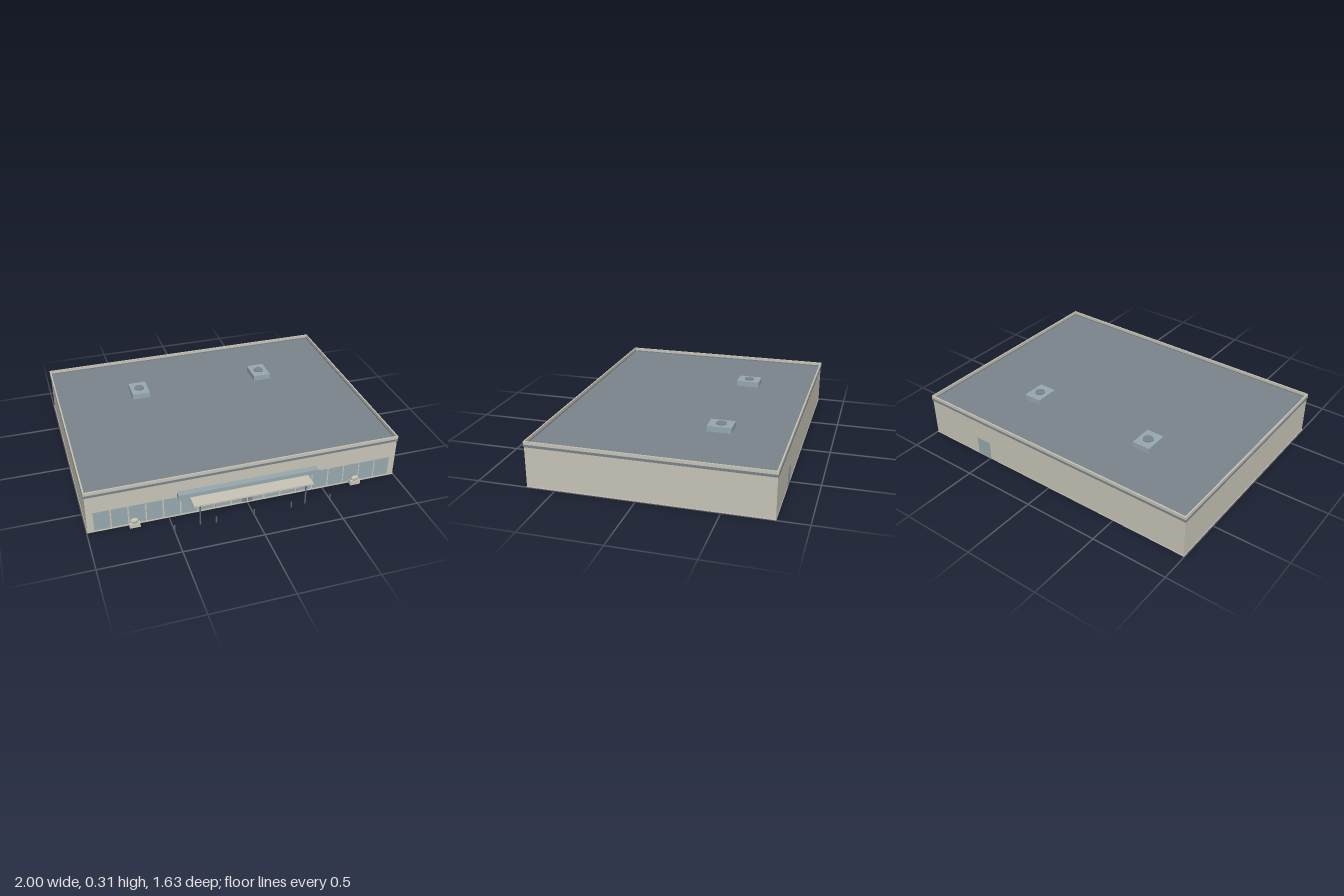
import * as THREE from 'three';

export function createModel() {
  const root = new THREE.Group();
  root.name = 'storeBuilding';

  const mat = (name, color) => {
    const m = new THREE.MeshStandardMaterial({ color });
    m.name = name;
    return m;
  };
  const beige = mat('beige wall', 0xc9c5b8);
  const slate = mat('slate', 0x7b848c);
  const glass = mat('pale blue glass', 0x97a9ae);
  const steel = mat('dark steel', 0x5f6870);

  const add = (name, geo, material, x, y, z, parent = root) => {
    const m = new THREE.Mesh(geo, material);
    m.name = name;
    m.position.set(x, y, z);
    parent.add(m);
    return m;
  };
  // Box given by its min and max on each axis
  const box = (name, material, x0, x1, y0, y1, z0, z1, parent = root) =>
    add(name, new THREE.BoxGeometry(x1 - x0, y1 - y0, z1 - z0), material,
      (x0 + x1) / 2, (y0 + y1) / 2, (z0 + z1) / 2, parent);

  const back = -0.813, front = 0.685, wallFront = 0.681;

  // Rectangular ring running round the building
  const ring = (name, material, inset, thick, y0, y1) => {
    const rect = (P, d) => {
      const p = new P();
      p.moveTo(-1 + d, -front + d);
      p.lineTo(1 - d, -front + d);
      p.lineTo(1 - d, -back - d);
      p.lineTo(-1 + d, -back - d);
      p.closePath();
      return p;
    };
    const s = rect(THREE.Shape, inset);
    s.holes.push(rect(THREE.Path, inset + thick));
    const g = new THREE.ExtrudeGeometry(s, { depth: y1 - y0, bevelEnabled: false });
    g.rotateX(-Math.PI / 2);
    return add(name, g, material, 0, y0, 0);
  };

  // Shell and roof
  box('foundation', beige, -0.998, 0.998, 0, 0.006, back + 0.002, front - 0.002);
  box('walls', beige, -0.995, 0.995, 0.006, 0.262, back + 0.004, wallFront);
  box('roof', slate, -0.99, 0.99, 0.262, 0.268, back + 0.01, front - 0.01);
  ring('roofBand', slate, 0, 0.01, 0.259, 0.275);
  ring('parapet', beige, 0.001, 0.009, 0.275, 0.295);

  // Shop windows
  const pitch = 0.1065;
  for (let i = 0; i < 18; i++) {
    const x = (i - 8.5) * pitch;
    box('window', glass, x - 0.049, x + 0.049, 0.012, 0.142, wallFront - 0.002, wallFront + 0.001);
  }

  // Entrance and rear doors
  for (const s of [-1, 1]) {
    const x = s * 0.018;
    box('entranceDoor', slate, x - 0.014, x + 0.014, 0.01, 0.11, wallFront, wallFront + 0.003);
  }
  box('rearDoor', glass, 0.495, 0.6, 0.006, 0.127, back + 0.002, back + 0.006);

  // Entrance canopy
  box('canopyFascia', glass, -0.447, 0.447, 0.152, 0.183, wallFront, 0.723);
  box('canopySlab', beige, -0.378, 0.378, 0.146, 0.156, wallFront, 0.812);
  for (const s of [-1, 1]) {
    add('canopyPost', new THREE.CylinderGeometry(0.005, 0.005, 0.146, 8), steel, s * 0.336, 0.073, 0.795);
  }

  // Bollards
  for (const x of [-0.497, -0.24, 0, 0.24, 0.497]) {
    add('bollard', new THREE.CylinderGeometry(0.005, 0.005, 0.04, 8), steel, x, 0.02, 0.808);
  }

  for (const s of [-1, 1]) {
    // Planter with a clipped shrub
    const planter = new THREE.Group();
    planter.name = 'planter';
    planter.position.set(s * 0.715, 0, 0.702);
    box('planterBox', beige, -0.033, 0.033, 0, 0.028, -0.013, 0.013, planter);
    const shrub = add('shrub', new THREE.SphereGeometry(1, 8, 6), beige, 0, 0.044, 0, planter);
    shrub.geometry.scale(0.029, 0.019, 0.011);
    root.add(planter);

    // Rooftop ventilation unit
    const unit = new THREE.Group();
    unit.name = 'roofUnit';
    unit.position.set(s * 0.438, 0, -0.367);
    box('unitCasing', glass, -0.06, 0.06, 0.266, 0.305, -0.078, 0.078, unit);
    add('unitFan', new THREE.CylinderGeometry(0.033, 0.033, 0.008, 20), slate, 0, 0.307, 0, unit);
    root.add(unit);
  }

  return root;
}
